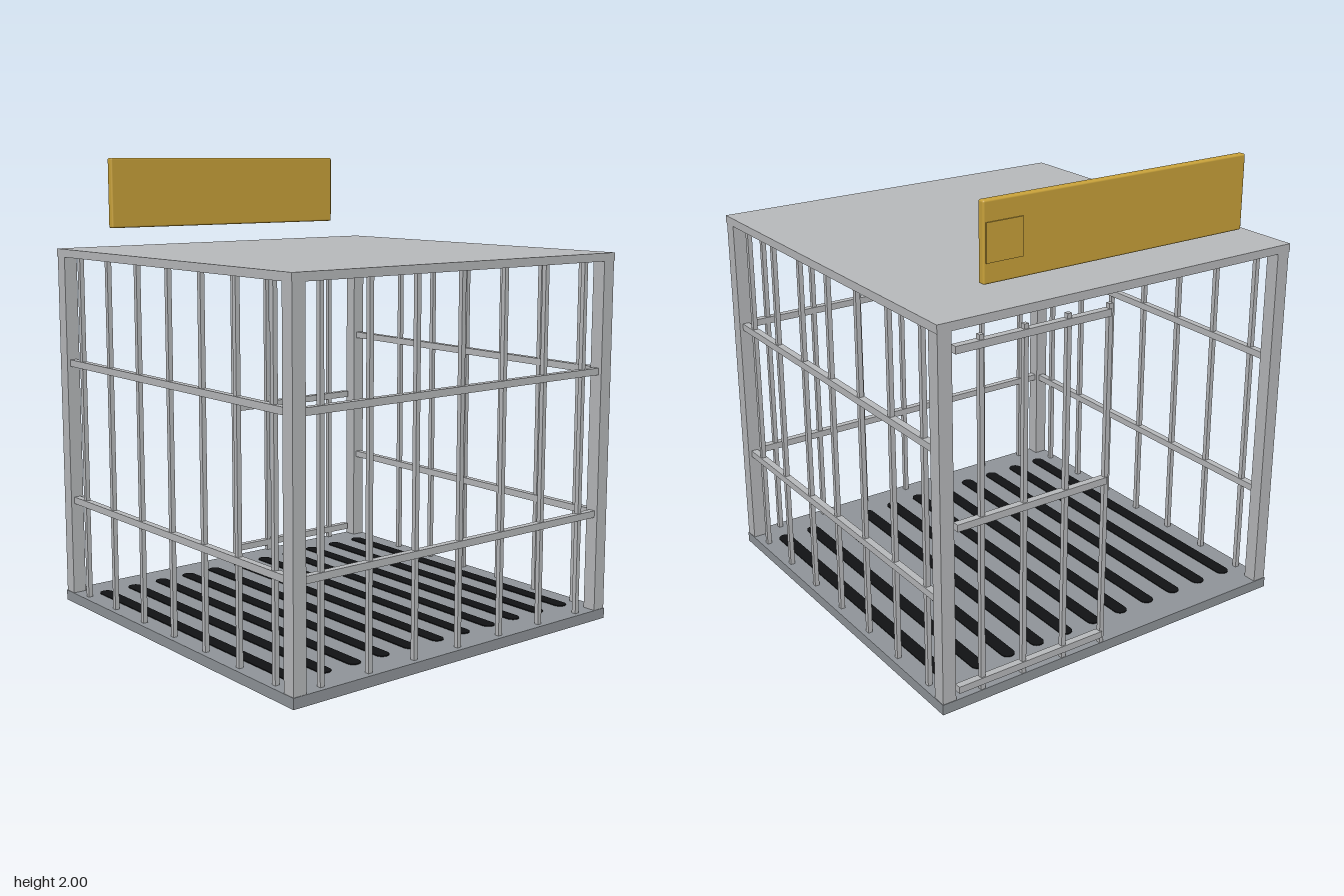
import * as THREE from 'three';
import { RoundedBoxGeometry } from 'three/addons/geometries/RoundedBoxGeometry.js';

export function createModel() {
  const model = new THREE.Group();
  model.name = 'cage';

  const material = (name, color) => {
    const m = new THREE.MeshStandardMaterial({ color });
    m.name = name;
    return m;
  };
  const steel = material('light steel', 0xb8babc);
  const floorGrey = material('floor grey', 0x90959a);
  const black = material('slot black', 0x111214);
  const gold = material('sign gold', 0xc9a23a);

  const add = (parent, name, geometry, mat, x, y, z) => {
    const mesh = new THREE.Mesh(geometry, mat);
    mesh.name = name;
    mesh.position.set(x, y, z);
    parent.add(mesh);
    return mesh;
  };
  const box = (parent, name, mat, w, h, d, x, y, z) =>
    add(parent, name, new THREE.BoxGeometry(w, h, d), mat, x, y, z);
  const group = (name) => {
    const g = new THREE.Group();
    g.name = name;
    model.add(g);
    return g;
  };

  const SIZE = 1.715, FLOOR = 0.045, CEILING = 1.57, EDGE = 0.825;
  const HEIGHT = CEILING - FLOOR, MIDDLE = (CEILING + FLOOR) / 2;

  // Floor slab and roof slab
  box(model, 'floor', floorGrey, SIZE, FLOOR, SIZE, 0, FLOOR / 2, 0);
  box(model, 'roof', steel, SIZE, 0.035, SIZE, 0, CEILING + 0.0175, 0);

  // Dark round-ended drain slots, running front to back
  const r = 0.03, half = 0.7;
  const slotShape = new THREE.Shape();
  slotShape.absarc(0, half, r, 0, Math.PI);
  slotShape.absarc(0, -half, r, Math.PI, Math.PI * 2);
  slotShape.closePath();
  const slotGeometry = new THREE.ExtrudeGeometry(slotShape, { depth: 0.004, bevelEnabled: false, curveSegments: 8 });
  slotGeometry.rotateX(-Math.PI / 2);
  const slots = group('floorSlots');
  for (let i = -5; i <= 5; i++) add(slots, 'floorSlot', slotGeometry, black, i * 0.148, FLOOR, 0);

  // Corner posts
  for (const x of [-EDGE, EDGE])
    for (const z of [-EDGE, EDGE]) box(model, 'cornerPost', steel, 0.06, HEIGHT, 0.06, x, MIDDLE, z);

  // Barred walls: front, left and right; the back is open beside the door
  const walls = [['frontWall', 0], ['leftWall', Math.PI / 2], ['rightWall', -Math.PI / 2]];
  for (const [name, turn] of walls) {
    const wall = group(name);
    for (let i = -3; i <= 3; i++) box(wall, 'bar', steel, 0.02, HEIGHT, 0.02, i * 0.235, MIDDLE, EDGE);
    for (const y of [0.475, 1.1]) box(wall, 'rail', steel, 1.59, 0.03, 0.03, 0, y, EDGE);
    wall.rotation.y = turn;
  }

  // Door at the back
  const door = group('door');
  for (let i = 0; i < 4; i++) box(door, 'doorBar', steel, 0.02, 1.485, 0.02, 0.077 + i * 0.197, 0.7875, -0.845);
  for (const y of [0.085, 0.79, 1.495]) box(door, 'doorRail', steel, 0.705, 0.03, 0.03, 0.43, y, -0.845);

  // Sign board above the back edge, with a thin plate on its rear
  const sign = group('sign');
  add(sign, 'signBoard', new RoundedBoxGeometry(1.25, 0.31, 0.034, 2, 0.008), gold, 0, 1.845, -0.787);
  box(sign, 'signPlate', gold, 0.16, 0.15, 0.006, 0.535, 1.845, -0.806);

  return model;
}
